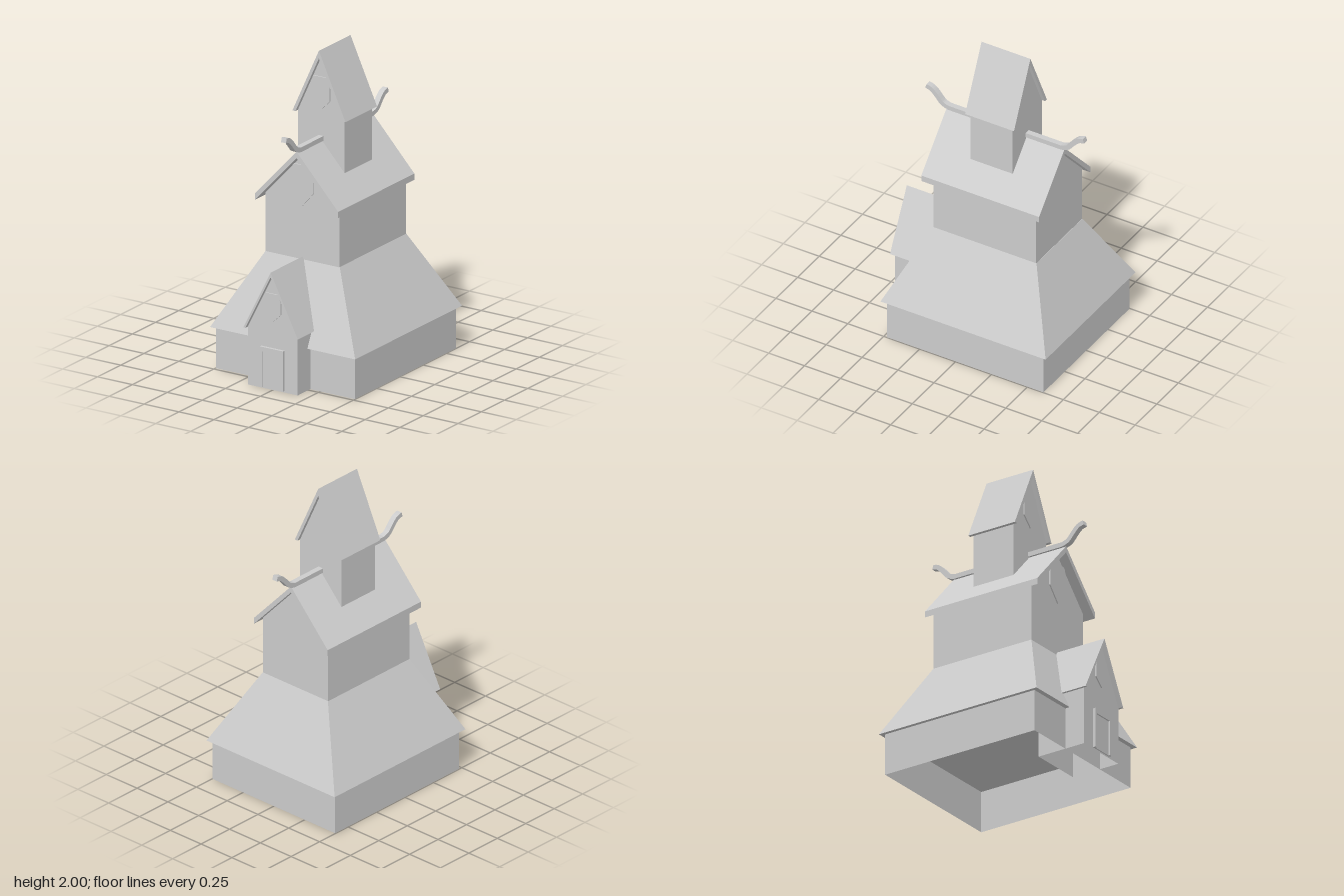
import * as THREE from 'three';

const material = new THREE.MeshStandardMaterial({
  color: 0xcccccc, flatShading: true, side: THREE.DoubleSide,
});

function add(parent, name, geometry) {
  const mesh = new THREE.Mesh(geometry, material);
  mesh.name = name;
  parent.add(mesh);
  return mesh;
}

// Straight extrusion of an outline in x/y from z0 to z1
function prism(points, z0, z1) {
  const shape = new THREE.Shape(points.map(([x, y]) => new THREE.Vector2(x, y)));
  return new THREE.ExtrudeGeometry(shape, { depth: z1 - z0, bevelEnabled: false }).translate(0, 0, z0);
}

// Four-sided ring of walls whose half-sizes differ at the bottom and top
function taperedWalls(y0, y1, bottom, top, zMid, open) {
  const g = new THREE.CylinderGeometry(1, 1, 1, 4, 1, open).rotateY(Math.PI / 4).toNonIndexed();
  const p = g.attributes.position;
  for (let i = 0; i < p.count; i++) {
    const [hx, hz] = p.getY(i) > 0 ? top : bottom;
    const sx = Math.abs(p.getX(i)) < 0.01 ? 0 : Math.sign(p.getX(i));
    const sz = Math.abs(p.getZ(i)) < 0.01 ? 0 : Math.sign(p.getZ(i));
    p.setXYZ(i, sx * hx, p.getY(i) > 0 ? y1 : y0, zMid + sz * hz);
  }
  g.computeVertexNormals();
  return g;
}

// Gabled walls with no floor, tucked under the roof slope
function gableWalls(half, y0, apex, slope, z0, z1) {
  const eave = apex - half * slope;
  const g = prism([[-half, y0], [half, y0], [half, eave], [0, apex], [-half, eave]], z0, z1);
  const src = g.attributes.position.array;
  const kept = [];
  for (let i = 0; i < src.length; i += 9) {
    const isFloor = [1, 4, 7].every((k) => Math.abs(src[i + k] - y0) < 1e-5);
    if (!isFloor) kept.push(...src.slice(i, i + 9));
  }
  const walls = new THREE.BufferGeometry();
  walls.setAttribute('position', new THREE.Float32BufferAttribute(kept, 3));
  walls.computeVertexNormals();
  return walls;
}

// Bent roof slab: outline is outer slope, eave cut, inner slope
function gableRoof(half, eave, apex, inner, innerHalf, innerEave, z0, z1) {
  return prism([
    [-half, eave], [-innerHalf, innerEave], [0, inner],
    [innerHalf, innerEave], [half, eave], [0, apex],
  ], z0, z1);
}

// Pointed shield on a gable
function shield(w, top, side, point, z) {
  const shoulder = top - w * 0.9;
  return prism([
    [0, point], [w, side], [w, shoulder], [w * 0.78, top],
    [-w * 0.78, top], [-w, shoulder], [-w, side],
  ], z - 0.01, z + 0.008);
}

// Ridge beam with both ends swept upward
function ridgeBeam() {
  const half = [[0.34, 1.442], [0.385, 1.458], [0.425, 1.502], [0.46, 1.534], [0.497, 1.545]];
  const front = new THREE.SplineCurve(half.map(([z, y]) => new THREE.Vector2(z, y)));
  const upper = [];
  const lower = [];
  for (let i = 0; i <= 14; i++) {
    const c = front.getPoint(i / 14);
    const t = i === 0 ? new THREE.Vector2(1, 0) : front.getTangent(i / 14);
    upper.push([c.x - t.y * 0.015, c.y + t.x * 0.015]);
    lower.push([c.x + t.y * 0.015, c.y - t.x * 0.015]);
  }
  const mirror = ([z, y]) => [-0.103 - z, y];
  const outline = [
    ...lower, ...upper.slice().reverse(),
    ...upper.map(mirror), ...lower.map(mirror).reverse(),
  ];
  return prism(outline, -0.018, 0.018).rotateY(-Math.PI / 2);
}

export function createModel() {
  const model = new THREE.Group();
  model.name = 'staveChurch';

  // Ground storey and its sloping skirt roof
  add(model, 'baseWalls', taperedWalls(0, 0.265, [0.497, 0.545], [0.497, 0.545], -0.065, true));
  add(model, 'skirtRoof', taperedWalls(0.265, 0.735, [0.52, 0.575], [0.265, 0.358], -0.064, false));

  // Upper storey
  const nave = new THREE.Group();
  nave.name = 'upperStorey';
  add(nave, 'upperWalls', gableWalls(0.265, 0.73, 1.395, 1.07, -0.42, 0.295));
  add(nave, 'upperRoof', gableRoof(0.298, 1.11, 1.432, 1.392, 0.298, 1.07, -0.46, 0.36));
  add(nave, 'upperShield', shield(0.083, 1.33, 1.165, 1.07, 0.295));
  add(nave, 'ridgeBeam', ridgeBeam());
  model.add(nave);

  // Tower
  const tower = new THREE.Group();
  tower.name = 'tower';
  add(tower, 'towerWalls', gableWalls(0.168, 1.22, 1.955, 2.18, -0.198, 0.095));
  add(tower, 'towerRoof', gableRoof(0.19, 1.585, 2, 1.952, 0.168, 1.585, -0.22, 0.12));
  add(tower, 'towerShield', shield(0.066, 1.83, 1.685, 1.62, 0.095));
  model.add(tower);

  // Porch with framed door
  const porch = new THREE.Group();
  porch.name = 'porch';
  add(porch, 'porchWalls', gableWalls(0.178, 0, 0.722, 1.97, 0.285, 0.615));
  add(porch, 'porchRoof', gableRoof(0.195, 0.365, 0.75, 0.72, 0.18, 0.365, 0.285, 0.64));
  add(porch, 'porchShield', shield(0.06, 0.61, 0.485, 0.43, 0.615));
  add(porch, 'doorFrame', prism([
    [-0.083, 0.01], [-0.068, 0.01], [-0.068, 0.235], [0.068, 0.235],
    [0.068, 0.01], [0.083, 0.01], [0.083, 0.265], [-0.083, 0.265],
  ], 0.61, 0.632));
  add(porch, 'door', new THREE.BoxGeometry(0.136, 0.225, 0.014).translate(0, 0.1225, 0.615));
  model.add(porch);

  return model;
}
